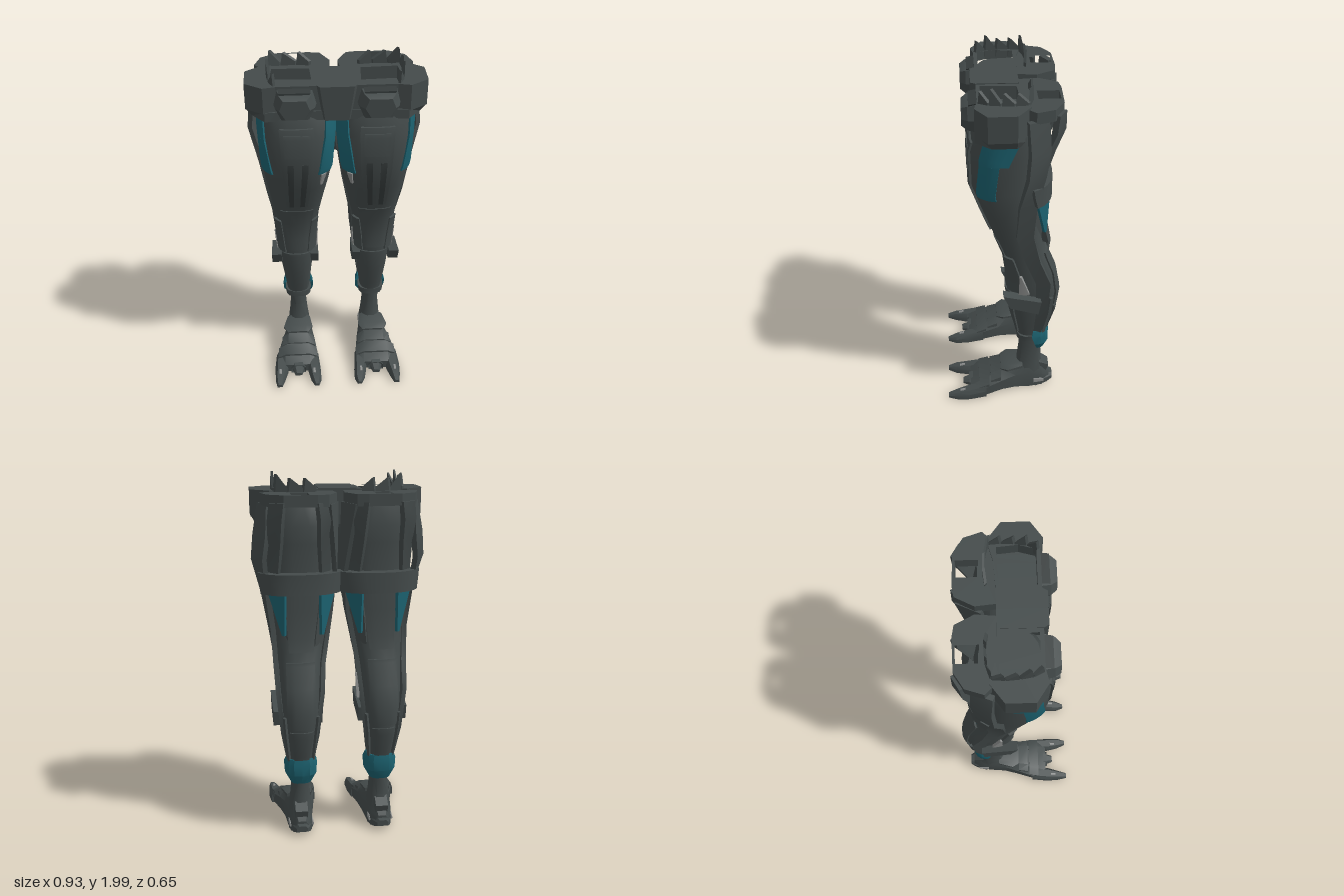
import * as THREE from 'three';
import { toCreasedNormals } from 'three/addons/utils/BufferGeometryUtils.js';

const D = Math.PI / 180;
// leg cross-sections: y, inner x, outer x, back z, front z
const LEG = [
  [1.85, .07, .39, -.18, .11], [1.74, .008, .405, -.205, .145], [1.65, .004, .402, -.195, .17], [1.45, .012, .395, -.195, .165],
  [1.3, .04, .38, -.20, .112], [1.15, .072, .358, -.205, .055], [1.0, .10, .345, -.24, -.002], [.88, .112, .338, -.29, -.018],
  [.75, .118, .33, -.315, -.022], [.6, .138, .315, -.30, -.045], [.48, .15, .30, -.265, -.075], [.41, .16, .292, -.25, -.09],
];

// Closed skin over a row of equal-length rings, always facing outward
function skin(rings, crease = 0.6) {
  const n = rings[0].length, tris = [], L = rings.length - 1;
  const quad = (a, b, c, d) => tris.push([a, b, c], [a, c, d]);
  for (let k = 0; k < L; k++) for (let i = 0; i < n; i++) {
    const j = (i + 1) % n;
    quad(rings[k][i], rings[k][j], rings[k + 1][j], rings[k + 1][i]);
  }
  for (let i = 0; i < Math.floor((n - 1) / 2); i++) {
    const [a, b] = [rings[0], rings[L]];
    quad(a[i + 1], a[i], a[n - 1 - i], a[n - 2 - i]);
    quad(b[i], b[i + 1], b[n - 2 - i], b[n - 1 - i]);
  }
  const V = p => new THREE.Vector3(...p);
  const vol = tris.reduce((s, t) => s + V(t[0]).dot(V(t[1]).cross(V(t[2]))), 0);
  const pos = tris.flatMap(t => (vol < 0 ? [t[0], t[2], t[1]] : t).flat());
  const g = new THREE.BufferGeometry();
  g.setAttribute('position', new THREE.Float32BufferAttribute(pos, 3));
  return toCreasedNormals(g, crease);
}

const mirrorRings = rings => rings.map(r => r.map(([x, y, z]) => [-x, y, z]));

// Point on the rounded-box outline of a section, pushed out by off
function outline([y, x0, x1, z0, z1], deg, off = 0, p = 2.6) {
  const c = Math.cos(deg * D), s = Math.sin(deg * D), e = 2 / p;
  return [(x0 + x1) / 2 + ((x1 - x0) / 2 + off) * Math.sign(c) * Math.abs(c) ** e, y,
    (z0 + z1) / 2 + ((z1 - z0) / 2 + off) * Math.sign(s) * Math.abs(s) ** e];
}
const loft = (rows, n = 20) => rows.map(r => Array.from({ length: n }, (_, i) => outline(r, (i + .5) * 360 / n)));

function section(y) {
  let i = 0;
  while (i < LEG.length - 2 && LEG[i + 1][0] > y) i++;
  const a = LEG[i], b = LEG[i + 1], t = (a[0] - y) / (a[0] - b[0]);
  return a.map((v, k) => v + (b[k] - v) * t);
}
// Curved plate between angles; angles may change from top to bottom
function plate(rows, [a0, a1], [b0, b1], out, inn = -.01, n = 7) {
  const top = rows[0][0], h = top - rows[rows.length - 1][0];
  return rows.map(r => {
    const t = (top - r[0]) / h, s = a0 + (b0 - a0) * t, e = a1 + (b1 - a1) * t;
    const arc = o => Array.from({ length: n }, (_, i) => outline(r, s + (e - s) * i / (n - 1), o));
    return [...arc(out), ...arc(inn).reverse()];
  });
}
const legRows = (y0, y1) => [y0, ...LEG.map(r => r[0]).filter(y => y < y0 - .01 && y > y1 + .01), y1].map(section);

// Strap through points x, y, z, half width along x and z, half thickness
const strap = pts => pts.map(([x, y, z, wx, wz, t]) => {
  const l = Math.hypot(wx, wz), tx = wz / l * t, tz = -wx / l * t;
  return [[1, 1], [1, -1], [-1, -1], [-1, 1]].map(([u, v]) => [x + u * wx + v * tx, y, z + u * wz + v * tz]);
});
// Box-like rings along z: z, x0, x1, y0, y1
const along = rows => rows.map(([z, x0, x1, y0, y1]) => {
  const w = (x1 - x0) * .2, h = (y1 - y0) * .4;
  return [[x0, y0, z], [x1, y0, z], [x1, y1 - h, z], [x1 - w, y1, z], [x0 + w, y1, z], [x0, y1 - h, z]];
});

export function createModel() {
  const mat = (name, color) => Object.assign(new THREE.MeshStandardMaterial({ color }), { name });
  const dark = mat('darkArmour', 0x444b4b), teal = mat('tealPanel', 0x1c6270);
  const seam = mat('seam', 0x353b3b), grey = mat('lightJoint', 0x8c8e8d);
  const model = new THREE.Group();
  const sides = ['left', 'right'].map(s => Object.assign(new THREE.Group(), { name: s + 'Leg' }));
  model.add(...sides);
  const addMesh = (name, geo, m, g) => g.add(Object.assign(new THREE.Mesh(geo, m), { name }));
  const add = (name, rings, m = dark, crease) =>
    sides.forEach((g, i) => addMesh(name, skin(i ? mirrorRings(rings) : rings, crease), m, g));
  // Flat ring cut from an x, z outline with a hole, between two heights
  const addRing = (name, poly, hole, y0, y1) => sides.forEach((g, i) => {
    const P = pts => pts.map(([x, z]) => new THREE.Vector2(i ? -x : x, -z));
    const shape = new THREE.Shape(P(poly));
    shape.holes.push(new THREE.Path(P(hole)));
    const geo = new THREE.ExtrudeGeometry(shape, { depth: y1 - y0, bevelEnabled: false });
    addMesh(name, geo.rotateX(-Math.PI / 2).translate(0, y0, 0), dark, g);
  });

  // Limb core and ankle
  add('legCore', loft(LEG));
  add('ankle', loft([[.45, .175, .28, -.235, -.10], [.3, .178, .275, -.23, -.10], [.2, .17, .285, -.235, -.09], [.12, .16, .295, -.25, -.07]], 12));
  add('ankleCollar', loft([[.42, .145, .305, -.22, -.085], [.38, .15, .30, -.21, -.085]], 12));
  add('ankleGuard', plate([[.46, .145, .305, -.265, -.12], [.425, .132, .318, -.272, -.09], [.365, .135, .315, -.272, -.09], [.31, .165, .285, -.25, -.13]],
    [172, 368], [188, 352], 0, -.015, 9), teal, .4);

  // Thigh plates
  add('thighFrontPlate', plate(legRows(1.70, 1.17), [71, 109], [74, 106], .01));
  add('thighUpperFrame', plate(legRows(1.67, 1.54), [77, 103], [77, 103], .014));
  for (const a of [[80, 87], [93, 100]]) add('thighSlot', plate(legRows(1.5, 1.17), a, a, .0125, 0, 3), seam);
  add('innerThighPanel', plate(legRows(1.75, 1.42), [135, 187], [118, 150], .008), teal);
  add('innerThighJoint', plate(legRows(1.41, 1.33), [126, 138], [128, 133], .006, -.01, 4), grey);
  add('outerThighPanelTop', plate(legRows(1.75, 1.62), [-10, 40], [-1, 40], .008), teal);
  add('outerThighPanel', plate(legRows(1.62, 1.42), [7, 40], [14, 52], .008), teal);

  // Back of thigh: wide band, centre plate and wedge-shaped flank panels
  add('thighBand', plate(legRows(1.5, 1.39), [207, 333], [212, 328], .06, .0, 11));
  add('hamstringPlate', plate(legRows(1.40, 1.08), [250, 290], [252, 288], .03));
  for (const [name, f] of [['outerHamstringPanel', x => x], ['innerHamstringPanel', x => .41 - x]])
    add(name, [0, .012].map(d => [[f(.388 - d), 1.41, -.168 + d], [f(.302 - d), 1.41, -.24 + d], [f(.305 - d), 1.17, -.23 + d], [f(.318 - d), 1.17, -.22 + d]]), teal);
  for (const f of [x => x, x => .41 - x])
    add('hamstringBacking', [[.375, -.155, 1.41], [.345, -.14, 1.1]].map(([x, z, y]) => [[f(x), y, z], [f(x - .075), y, z - .068], [f(x - .1), y, z - .01], [f(x - .03), y, z + .05]]));

  // Knee and shin
  add('kneePlate', plate(legRows(1.12, .80), [55, 125], [50, 130], .005));
  add('shinPlate', plate(legRows(.77, .44), [45, 135], [55, 125], .008));
  add('calfPlate', plate(legRows(1.02, .66), [240, 300], [230, 310], .009));
  add('lowerCalfPlate', plate(legRows(.64, .46), [235, 305], [245, 295], .008));
  for (const out of [true, false]) {
    const f = a => out ? a : [180 - a[0], 180 - a[1]];
    add('kneeSidePlate', plate(legRows(1.02, .78), f([25, 55]), f([14, 62]), .012));
    add('kneeJoint', plate(legRows(.9, .77), f([15, 19]), f([4, 24]), .016, 0, 4), grey);
    add('calfRod', plate(legRows(.72, .43), f([-42, -32]), f([-42, -28]), .014, -.01, 3));
    // Tilted knee pod
    const x0 = out ? .315 : .145, x1 = out ? .372 : .10;
    add('kneePod', [x0, x1].map(x => [[x, .785, .0], [x, .735, -.21], [x, .65, -.195], [x, .70, -.04]]), dark, .3);
  }

  // Outer and inner side straps
  add('outerStrap', strap([[.39, 1.86, -.16, -.02, -.05, .014], [.41, 1.70, -.17, -.03, -.05, .014], [.425, 1.57, -.155, -.027, -.045, .014],
    [.392, 1.38, -.12, -.01, -.045, .014], [.362, 1.18, -.11, -.004, -.045, .014], [.345, 1.0, -.16, .006, -.04, .014],
    [.34, .85, -.22, .006, -.04, .012], [.318, .62, -.22, .006, -.03, .012], [.29, .44, -.20, .004, -.02, .01]]));
  add('innerStrap', strap([[.045, 1.86, -.22, -.028, .06, .012], [.035, 1.7, -.19, -.018, .05, .012], [.022, 1.5, -.14, -.008, .045, .012],
    [.048, 1.28, -.11, .0, .045, .012], [.10, 1.0, -.16, .006, .04, .012], [.112, .85, -.22, .006, .04, .012],
    [.14, .6, -.22, .004, .03, .012], [.165, .44, -.2, .004, .02, .01]]));
  for (const [x, k] of [[.33, 1], [.10, -1]])
    add('hipBackStrap', strap([[x, 1.87, -.27, .035, .02 * k, .016], [x + .01 * k, 1.78, -.265, .035, .025 * k, .016],
      [x + .01 * k, 1.66, -.22, .03, .025 * k, .014], [x + .02 * k, 1.48, -.165, .025, .025 * k, .01]]));

  // Hip belt, centre plate and front pouch
  addRing('hipBelt', [[0, .125], [.12, .125], [.30, .125], [.365, .14], [.455, .08], [.455, -.06], [.36, -.13], [.25, -.10], [.1, -.09], [0, -.09]],
    [[.12, .105], [.305, .105], [.33, .02], [.32, -.085], [.13, -.075]], 1.78, 1.918);
  add('hipBeltHem', [[1.785, .455, .08], [1.735, .425, .06]].map(([y, x, z]) => [[0, y, .13], [.30, y, .135], [.36, y, .14], [x, y, z], [x, y, -.06], [.36, y, -.12], [0, y, -.09]]), dark, .3);
  add('hipCentrePlate', [[1.74, .7], [1.922, 1]].map(([y, k]) => [[0, y, .15], [.085 * k, y, .15], [.1 * k, y, .125], [.1 * k, y, -.09], [0, y, -.09]]), dark, .3);
  add('hipPouch', [[.12, .10, .315, 1.75, 1.90], [.17, .11, .305, 1.76, 1.89], [.2, .135, .285, 1.775, 1.875]].map(([z, a, b, c, d]) =>
    [[a + .03, c, z], [b - .03, c, z], [b, (c + d) / 2, z], [b - .02, d, z], [a + .02, d, z], [a, (c + d) / 2, z]]), dark, .3);
  add('pouchRecess', [[.12, 1.908], [.165, 1.90]].map(([z, y]) => [[.13, y, z], [.29, y, z], [.27, y - .03, z], [.15, y - .03, z]]), seam);

  // Open ring at the back of the hip
  addRing('hipBackRing', [[.03, -.09], [.36, -.1], [.41, -.15], [.38, -.24], [.3, -.29], [.13, -.295], [.07, -.285], [.02, -.19]],
    [[.17, -.17], [.26, -.17], [.26, -.28], [.17, -.28]], 1.85, 1.91);

  // Jagged crown of saw teeth
  const path = [[.31, .125], [.335, .075], [.345, .015], [.35, -.05], [.345, -.115], [.28, -.135], [.20, -.14], [.13, -.13]];
  path.slice(0, -1).forEach(([x, z], i) => {
    const [u, w] = path[i + 1], top = 1.97 + (i % 3 === 1 ? .03 : .01);
    const tooth = d => [[x - d, 1.87, z - d], [u - d, 1.87, w - d], [u - d, 1.93, w - d], [x * .8 + u * .2 - d, top, z * .8 + w * .2 - d]];
    add('crownTooth', [tooth(0), tooth(.012)], dark, .2);
  });

  // Foot, toes and instep plates
  add('foot', along([[-.285, .195, .265, .03, .09], [-.24, .17, .29, .012, .15], [-.16, .16, .30, .008, .2], [-.08, .15, .31, .02, .18],
    [0, .135, .335, .03, .15], [.1, .12, .365, .02, .115], [.19, .115, .375, .008, .062]]));
  for (const [a, b, tip, out] of [[.305, .385, .325, .012], [.105, .18, .325, -.012], [.195, .285, .235, 0]])
    add('toe', along([[.1, a + .01, b - .01, .015, .085], [.2, a, b, .006, .065], [tip - .05, a + .01 + out, b - .01 + out / 2, .006, .05],
      [tip, a + .025 + out, b - .025 + out, .015, .035]]));
  for (const x of [.135, .343]) add('toeJoint', along([[.225, x, x + .018, .04, .066], [.255, x, x + .018, .04, .06]]), grey);
  for (const [z, x0, x1, y] of [[.04, .14, .335, .145], [.11, .125, .36, .115]])
    add('instepPlate', along([[z - .03, x0, x1, y - .06, y + .015], [z + .03, x0 - .005, x1 + .005, y - .07, y - .012]]));
  add('footCollar', along([[-.12, .16, .30, .165, .195], [-.03, .145, .325, .165, .185], [.01, .17, .30, .16, .172]]));
  add('heelSpur', [[.21, -.2], [.15, -.28], [.08, -.26]].map(([y, z]) => [[.18, y, -.17], [.28, y, -.17], [.265, y, z], [.195, y, z]]));
  add('heelBlock', along([[-.305, .20, .262, .035, .07], [-.27, .18, .28, .02, .08], [-.2, .16, .30, .01, .07]]));
  for (const x of [.16, .29]) add('heelJoint', along([[-.25, x, x + .008, .045, .065], [-.19, x, x + .012, .04, .07]]), grey);
  return model;
}
